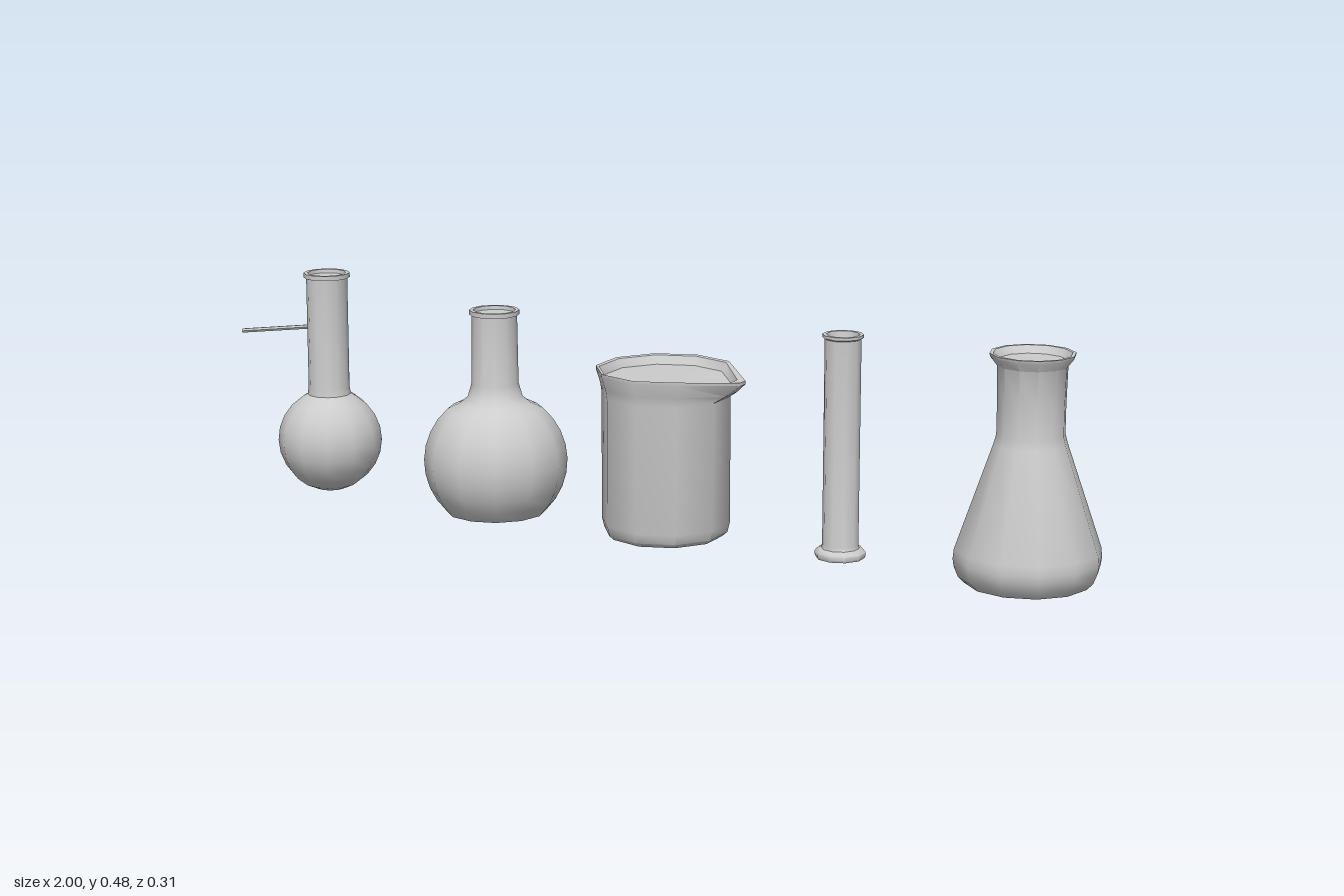
import * as THREE from 'three';
import { toCreasedNormals } from 'three/addons/utils/BufferGeometryUtils.js';

const material = new THREE.MeshStandardMaterial({ color: 0xcccccc });

function addMesh(parent, name, geometry) {
  const mesh = new THREE.Mesh(toCreasedNormals(geometry, 0.75), material);
  mesh.name = name;
  parent.add(mesh);
  return mesh;
}

// Turned vessel: profile of [radius, height] running from the base to the inner surface
function turned(profile, sides) {
  return new THREE.LatheGeometry(profile.map(([r, y]) => new THREE.Vector2(r, y)), sides);
}

// Points along a round bulb, from the base angle to the neck angle (0 = straight down)
function bulb(radius, centreY, from, to, steps) {
  return Array.from({ length: steps + 1 }, (_, i) => {
    const a = from + (to - from) * i / steps;
    return [radius * Math.sin(a), Math.max(0, centreY - radius * Math.cos(a))];
  });
}

// Collar ring at the mouth with a shallow closed recess
function collar(neck, rim, top) {
  return [
    [neck, top - 0.01], [rim, top - 0.01], [rim, top],
    [neck - 0.003, top], [neck - 0.004, top - 0.008], [0, top - 0.008],
  ];
}

// Pull the two rim columns facing +x outward into a pouring spout
function addSpout(geometry) {
  const p = geometry.attributes.position;
  for (let i = 0; i < p.count; i++) {
    const x = p.getX(i), y = p.getY(i), z = p.getZ(i);
    const r = Math.hypot(x, z);
    if (y < 0.3 || r < 0.1 || Math.abs(Math.atan2(z, x)) > 0.4) continue;
    const t = Math.min(1, (y - 0.295) / 0.045);
    const inner = r < 0.142 && y > 0.33;
    const reach = inner ? 0.02 : 0.037 * t;
    p.setXYZ(i, x + reach, y - 0.012 * t, z * (1 - (inner ? 0.5 : 0.75) * t));
  }
  return geometry;
}

export function createModel() {
  const model = new THREE.Group();
  model.name = 'laboratoryGlassware';

  // Distilling flask with a sloping side arm
  const distilling = new THREE.Group();
  distilling.name = 'distillingFlask';
  distilling.position.x = -0.777;
  addMesh(distilling, 'distillingFlaskBody', turned([
    [0, 0], ...bulb(0.113, 0.111, 0.27, 2.6, 9),
    [0.047, 0.214], [0.0445, 0.23], ...collar(0.0445, 0.05, 0.482),
  ], 12));
  const arm = new THREE.LineCurve3(new THREE.Vector3(-0.223, 0.333, 0), new THREE.Vector3(-0.035, 0.36, 0));
  addMesh(distilling, 'sideArm', new THREE.TubeGeometry(arm, 1, 0.005, 6));
  const armEnd = addMesh(distilling, 'sideArmEnd', new THREE.CircleGeometry(0.005, 6));
  armEnd.position.set(-0.223, 0.333, 0);
  armEnd.rotation.y = -Math.PI / 2;
  model.add(distilling);

  // Flat-bottomed round flask
  addMesh(model, 'roundFlask', turned([
    [0, 0], ...bulb(0.153, 0.11, 0.769, 2.42, 8),
    [0.075, 0.237], [0.058, 0.252], [0.05, 0.28], ...collar(0.048, 0.053, 0.438),
  ], 12)).position.x = -0.357;

  // Beaker with a flared rim and spout
  addMesh(model, 'beaker', addSpout(turned([
    [0, 0], [0.12, 0], [0.13, 0.009], [0.135, 0.03],
    [0.135, 0.298], [0.138, 0.318], [0.147, 0.346], [0.147, 0.353],
    [0.14, 0.351], [0.13, 0.333], [0, 0.333],
  ], 10))).position.x = 0.051;

  // Measuring cylinder on a disc foot
  addMesh(model, 'measuringCylinder', turned([
    [0, 0], [0.05, 0], [0.052, 0.004], [0.052, 0.012], [0.047, 0.018], [0.039, 0.02],
    [0.037, 0.028], [0.037, 0.452], [0.042, 0.455], [0.042, 0.461],
    [0.034, 0.461], [0.031, 0.445], [0, 0.445],
  ], 10)).position.x = 0.449;

  // Conical flask with a flared lip
  addMesh(model, 'conicalFlask', turned([
    [0, 0], [0.124, 0], [0.137, 0.013], [0.146, 0.035], [0.148, 0.05], [0.146, 0.07],
    [0.073, 0.282], [0.068, 0.3], [0.068, 0.36], [0.07, 0.438], [0.084, 0.456], [0.085, 0.462],
    [0.078, 0.462], [0.068, 0.447], [0, 0.447],
  ], 12)).position.x = 0.852;

  return model;
}
